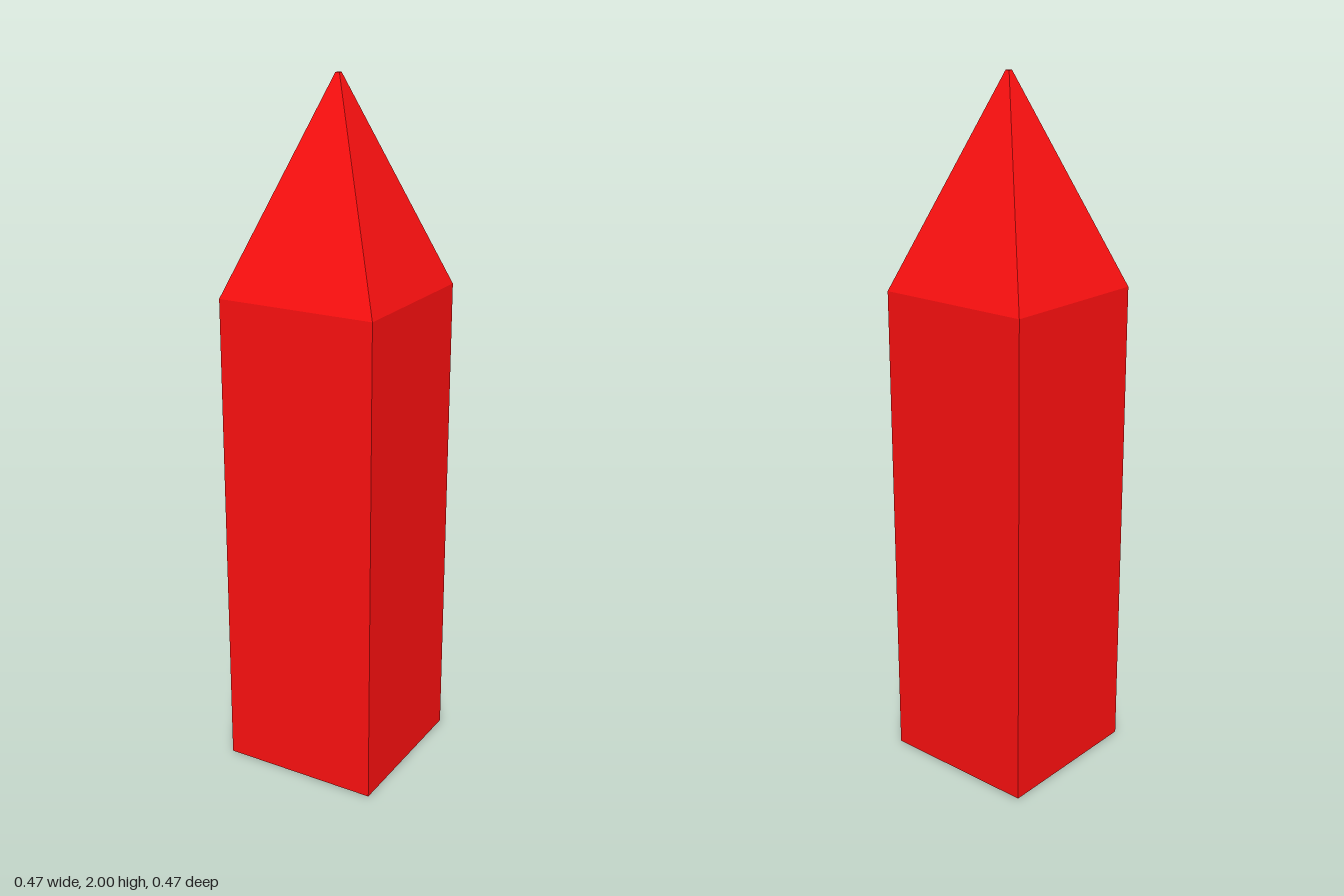
import * as THREE from 'three';

const HALF = 0.235;      // half width of the square post
const TIP = 0.006;       // half width of the blunt tip
const SHOULDER = 1.415;  // height where the point begins
const HEIGHT = 2;

// Square prism or frustum standing on y = bottom
function squareSection(name, topHalf, bottomHalf, bottom, top, material) {
  const geometry = new THREE.CylinderGeometry(
    topHalf * Math.SQRT2, bottomHalf * Math.SQRT2, top - bottom, 4);
  geometry.rotateY(Math.PI / 4);
  geometry.translate(0, (top + bottom) / 2, 0);
  const mesh = new THREE.Mesh(geometry, material);
  mesh.name = name;
  return mesh;
}

export function createModel() {
  const group = new THREE.Group();
  group.name = 'picket';
  const red = new THREE.MeshStandardMaterial({ color: 0xff1010, flatShading: true });

  // Straight post and its pyramid point
  group.add(squareSection('post', HALF, HALF, 0, SHOULDER, red));
  group.add(squareSection('point', TIP, HALF, SHOULDER, HEIGHT, red));
  return group;
}
